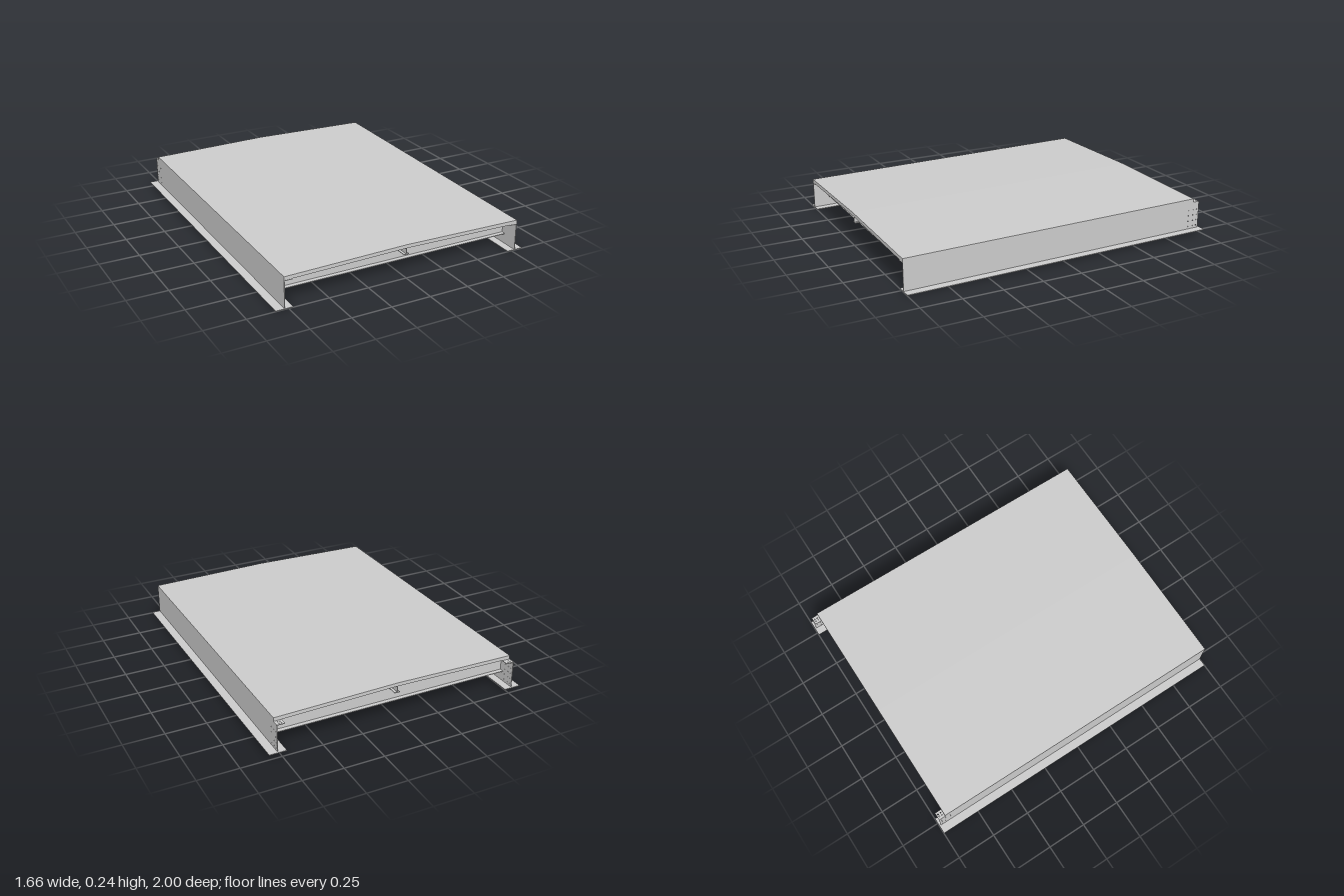
import * as THREE from 'three';

const SLOPE = 0.014;      // rise per unit towards the back
const HALF = 0.775;       // half width of the deck
const EDGE = 0.175, CROWN = 0.19; // deck underside at the sides and the middle
const FL = 0.004;         // plate thickness

export function createModel() {
  const model = new THREE.Group();
  model.name = 'bridgeDeckSection';
  const material = new THREE.MeshStandardMaterial({ color: 0xcccccc, flatShading: true });

  // Everything is built level, then tilted by shearing y along z
  const add = (name, geometry, parent = model) => {
    const p = geometry.attributes.position;
    for (let i = 0; i < p.count; i++) p.setY(i, p.getY(i) + (1 - p.getZ(i)) * SLOPE);
    geometry.computeVertexNormals();
    const mesh = new THREE.Mesh(geometry, material);
    mesh.name = name;
    parent.add(mesh);
  };
  const box = (x0, x1, y0, y1, z0, z1) =>
    new THREE.BoxGeometry(x1 - x0, y1 - y0, z1 - z0)
      .translate((x0 + x1) / 2, (y0 + y1) / 2, (z0 + z1) / 2);
  const prism = (points, z0, z1) =>
    new THREE.ExtrudeGeometry(new THREE.Shape(points.map(([x, y]) => new THREE.Vector2(x, y))),
      { depth: z1 - z0, bevelEnabled: false }).translate(0, 0, z0);
  // Cross-section between a lower line and an upper line, both raised in the middle
  const crowned = (half, low, lowMid, high, highMid) =>
    [[-half, low], [0, lowMid], [half, low], [half, high], [0, highMid], [-half, high]];
  // Flat plate with round bolt holes
  const drilled = (x0, x1, y0, y1, depth, holes) => {
    const shape = new THREE.Shape();
    shape.moveTo(x0, y0).lineTo(x1, y0).lineTo(x1, y1).lineTo(x0, y1).closePath();
    for (const [x, y] of holes) shape.holes.push(new THREE.Path().absarc(x, y, 0.003, 0, Math.PI * 2, true));
    return new THREE.ExtrudeGeometry(shape, { depth, bevelEnabled: false, curveSegments: 4 });
  };

  // Cambered deck slab
  add('deck', prism(crowned(HALF, EDGE, CROWN, 0.198, 0.212), -0.947, 1));

  // Side girders: drilled web, wide bottom flange, inward top flange
  for (const side of [-1, 1]) {
    const girder = new THREE.Group();
    girder.name = side > 0 ? 'leftGirder' : 'rightGirder';
    model.add(girder);
    const span = (a, b) => (side > 0 ? [a, b] : [-b, -a]);

    const webHoles = [];
    for (const u of [0.915, 0.95, 0.975])
      for (let row = 0; row < 4; row++) webHoles.push([u, 0.02 + row * 0.035]);
    // Plate x runs towards the back once turned
    add('web', drilled(-1, 0.99, FL, EDGE, 0.004, webHoles)
      .rotateY(Math.PI / 2).translate(span(0.771, HALF)[0], 0, 0), girder);

    add('bottomFlange', box(...span(0.722, 0.828), 0, FL, -1, 1), girder);

    const flangeHoles = [];
    for (const x of [0.742, 0.757]) for (const u of [0.96, 0.978]) flangeHoles.push([side * x, u]);
    add('topFlange', drilled(...span(0.725, HALF), -1, 0.99, FL, flangeHoles)
      .rotateX(-Math.PI / 2).translate(0, EDGE - FL, 0), girder);
  }

  // Cross beams between the girders, set in from both ends
  for (let i = 0; i < 6; i++) {
    const z = 0.87 - i * 0.348;
    const beam = new THREE.Group();
    beam.name = 'crossBeam' + (i + 1);
    model.add(beam);
    const h = 0.772;
    add('web', prism(crowned(h, 0.065, 0.065, EDGE, CROWN), z - 0.003, z + 0.003), beam);
    add('bottomFlange', box(-h, h, 0.065, 0.065 + FL, z - 0.03, z + 0.03), beam);
    add('topFlange', prism(crowned(h, EDGE - FL, CROWN - FL, EDGE, CROWN), z - 0.03, z + 0.03), beam);
  }

  // Central stringer under the crown
  const stringer = new THREE.Group();
  stringer.name = 'centreStringer';
  model.add(stringer);
  add('web', box(-0.002, 0.002, 0.147, CROWN, -0.947, 0.995), stringer);
  add('bottomFlange', box(-0.017, 0.017, 0.147, 0.147 + FL, -0.947, 0.995), stringer);
  return model;
}
